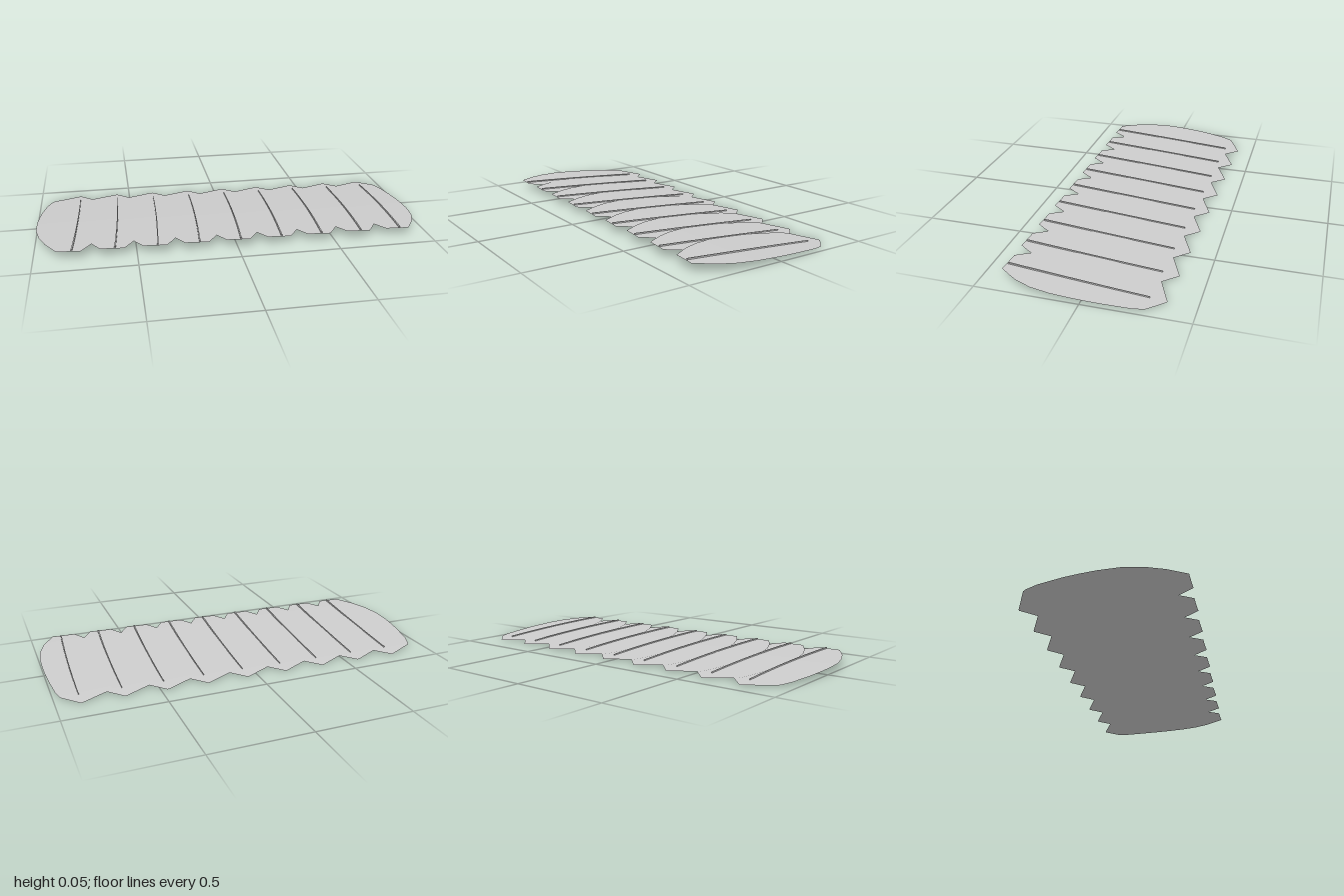
import * as THREE from 'three';

const COUNT = 9, SPACING = 0.2075;
const grey = new THREE.MeshStandardMaterial({ name: 'feather grey', color: 0xcccccc, side: THREE.DoubleSide });

// Outline of one feather: [position along it, left edge, right edge]
const OUTLINE = [
  [0, -0.004, 0.004], [0.083, -0.145, 0.072], [0.103, -0.157, 0.086], [0.176, -0.18, 0.101],
  [0.327, -0.205, 0.113], [0.42, -0.214, 0.118], [0.515, -0.22, 0.12], [0.642, -0.219, 0.118],
  [0.768, -0.197, 0.104], [0.87, -0.163, 0.075], [0.935, -0.132, 0.044], [0.992, -0.106, 0.01],
];

// Feather midline, arching from the low back tip to the raised front end
function spine(i, t) {
  const back = -0.413 + 0.0064 * i, front = 0.391 + 0.0024 * i;
  return new THREE.Vector3(
    -0.78 + SPACING * i - 0.035 * t * t,
    0.004 + 0.062 * t - 0.02 * t * t,
    THREE.MathUtils.lerp(back, front, t));
}

// Thin vane, tilted slightly so that its right edge tucks under the next feather
function vaneGeometry(i) {
  const pos = [], index = [];
  OUTLINE.forEach(([t, left, right], r) => {
    const c = spine(i, t), x0 = -0.78 + SPACING * i;
    const slant = r === OUTLINE.length - 1 ? 0.004 : 0;
    for (const [x, dz] of [[x0 + left, -slant], [c.x, 0], [x0 + right, slant]]) {
      pos.push(x, c.y - 0.012 * (x - c.x), c.z + dz);
    }
    if (r === 0) return;
    for (let k = 0; k < 2; k++) {
      const a = (r - 1) * 3 + k, b = a + 3;
      index.push(a, b, a + 1, a + 1, b, b + 1);
    }
  });
  const g = new THREE.BufferGeometry();
  g.setAttribute('position', new THREE.Float32BufferAttribute(pos, 3));
  g.setIndex(index);
  g.computeVertexNormals();
  return g;
}

// Narrow ridge lying on top of the vane, bent along the midline and thinner towards the back
function shaftGeometry(i) {
  const g = new THREE.BoxGeometry(1, 1, 1, 1, 1, 16);
  const p = g.attributes.position;
  for (let n = 0; n < p.count; n++) {
    const t = 0.1 + 0.885 * (p.getZ(n) + 0.5);
    const c = spine(i, t);
    const width = 0.002 + 0.005 * t;
    p.setXYZ(n, c.x + p.getX(n) * width, c.y + 0.0005 + 0.0065 * (p.getY(n) + 0.5), c.z);
  }
  g.computeVertexNormals();
  return g;
}

export function createModel() {
  const model = new THREE.Group();
  model.name = 'featherRow';
  for (let i = 0; i < COUNT; i++) {
    const feather = new THREE.Group();
    feather.name = `feather${i + 1}`;
    const blade = new THREE.Mesh(vaneGeometry(i), grey);
    blade.name = 'vane';
    const shaft = new THREE.Mesh(shaftGeometry(i), grey);
    shaft.name = 'shaft';
    feather.add(blade, shaft);
    model.add(feather);
  }
  return model;
}
